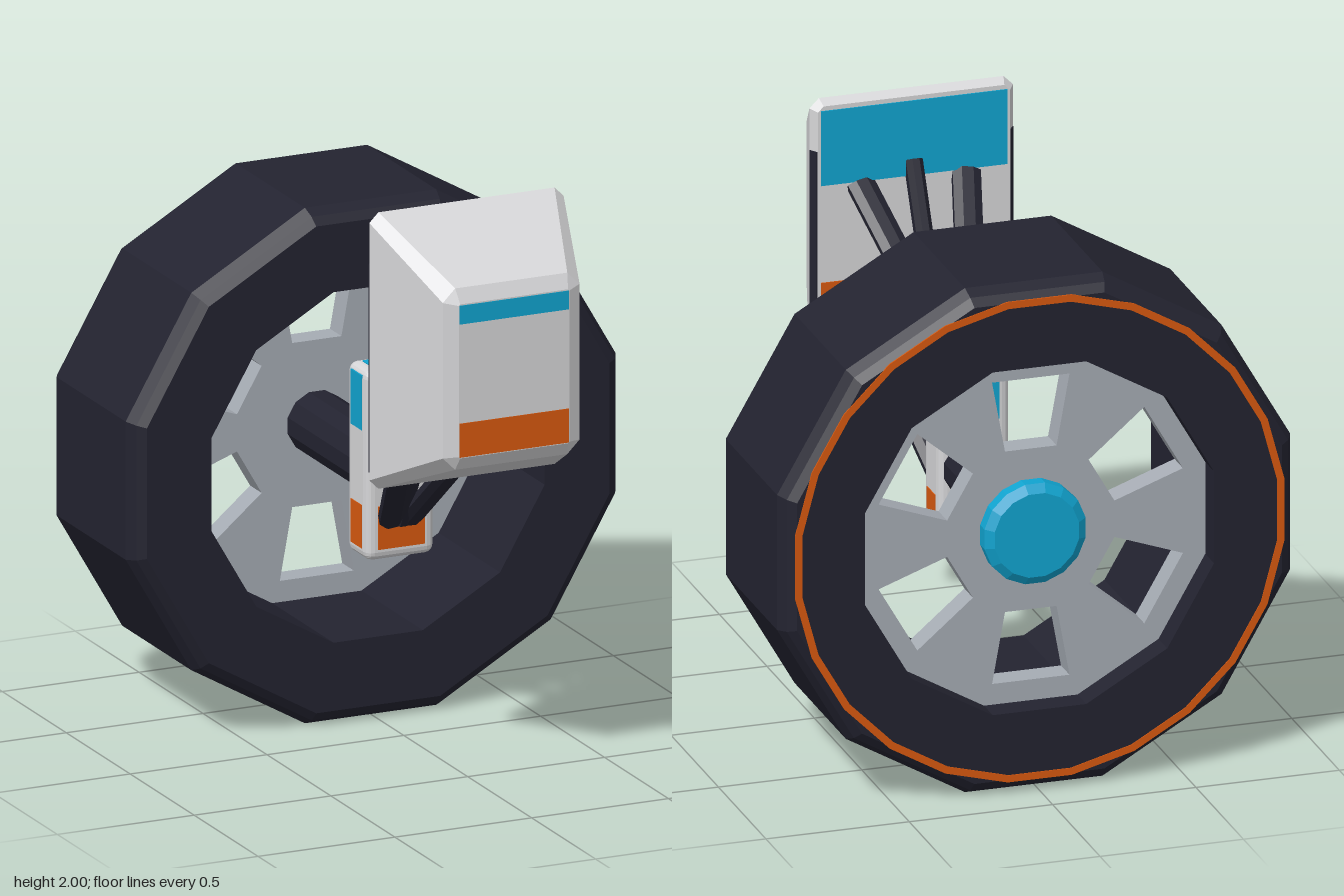
import * as THREE from 'three';
import { RoundedBoxGeometry } from 'three/addons/geometries/RoundedBoxGeometry.js';

const mat = (name, color) => {
  const m = new THREE.MeshStandardMaterial({ color, flatShading: true });
  m.name = name;
  return m;
};

// Closed solid lofted through equal-length cross-sections, ordered back to front
function loft(sections) {
  const pos = [];
  const tri = (...pts) => pts.forEach((p) => pos.push(...p));
  const n = sections[0].length;
  for (let k = 0; k < sections.length - 1; k++) {
    const s = sections[k], t = sections[k + 1];
    for (let i = 0; i < n; i++) {
      const j = (i + 1) % n;
      tri(s[i], s[j], t[j], s[i], t[j], t[i]);
    }
  }
  const back = sections[0], front = sections[sections.length - 1];
  for (let i = 1; i < n - 1; i++) {
    tri(back[0], back[i + 1], back[i]);
    tri(front[0], front[i], front[i + 1]);
  }
  const g = new THREE.BufferGeometry();
  g.setAttribute('position', new THREE.Float32BufferAttribute(pos, 3));
  g.computeVertexNormals();
  return g;
}

// Rectangle with cut corners, counter-clockwise seen from the front
const octagon = (z, hx, y0, y1, c) => [
  [hx, y0 + c, z], [hx, y1 - c, z], [hx - c, y1, z], [c - hx, y1, z],
  [-hx, y1 - c, z], [-hx, y0 + c, z], [c - hx, y0, z], [hx - c, y0, z],
];

// Twelve-sided turned part around the z axis, with a flat at the bottom
function turned(profile, segments = 12) {
  const pts = profile.map(([r, z]) => new THREE.Vector2(r, z));
  return new THREE.LatheGeometry(pts, segments, Math.PI / segments).rotateX(Math.PI / 2);
}

export function createModel() {
  const model = new THREE.Group();
  model.name = 'wheelAssembly';
  const dark = mat('darkRubber', 0x232330);
  const white = mat('paleShell', 0xd6d6d8);
  const metal = mat('rimGrey', 0xa6acb4);
  const cyan = mat('cyanPaint', 0x10a4d0);
  const orange = mat('orangePaint', 0xd8590f);

  const add = (name, geo, material, x = 0, y = 0, z = 0, parent = model) => {
    const m = new THREE.Mesh(geo, material);
    m.name = name;
    m.position.set(x, y, z);
    parent.add(m);
    return m;
  };
  const box = (w, h, d) => new THREE.BoxGeometry(w, h, d);

  // Wheel
  const wheel = new THREE.Group();
  wheel.name = 'wheel';
  wheel.position.y = 0.895;
  model.add(wheel);
  add('tire', turned([
    [0.63, -0.862], [0.875, -0.862], [0.905, -0.84], [0.9266, -0.8], [0.9266, -0.26],
    [0.905, -0.22], [0.875, -0.2], [0.63, -0.2], [0.63, -0.862],
  ]), dark, 0, 0, 0, wheel);
  add('sidewallRing', turned([
    [0.835, -0.86], [0.835, -0.865], [0.86, -0.865], [0.86, -0.86],
  ], 24), orange, 0, 0, 0, wheel);

  // Rim disc with six tapered windows
  const rim = new THREE.Shape();
  for (let i = 0; i < 12; i++) {
    const a = (i + 0.5) * Math.PI / 6, r = 0.632;
    if (i) rim.lineTo(r * Math.cos(a), r * Math.sin(a));
    else rim.moveTo(r * Math.cos(a), r * Math.sin(a));
  }
  for (let i = 0; i < 6; i++) {
    const a = Math.PI / 6 + i * Math.PI / 3;
    const corners = [[0.285, -0.09], [0.285, 0.09], [0.535, 0.135], [0.535, -0.135]];
    rim.holes.push(new THREE.Path(corners.map(([r, t]) => new THREE.Vector2(
      r * Math.cos(a) - t * Math.sin(a), r * Math.sin(a) + t * Math.cos(a)))));
  }
  add('rim', new THREE.ExtrudeGeometry(rim, { depth: 0.09, bevelEnabled: false }),
    metal, 0, 0, -0.77, wheel);
  add('hubCap', turned([
    [0, -0.835], [0.15, -0.835], [0.18, -0.815], [0.18, -0.76], [0, -0.76],
  ], 16), cyan, 0, 0, 0, wheel);
  add('axle', turned([[0, -0.7], [0.11, -0.7], [0.11, -0.17], [0, -0.17]]), dark, 0, 0, 0, wheel);

  // Mounting block with painted patches on every side
  const mount = new THREE.Group();
  mount.name = 'mount';
  mount.position.set(0, 0.94, -0.1);
  model.add(mount);
  add('mountBlock', new RoundedBoxGeometry(0.25, 0.66, 0.16, 2, 0.03), white, 0, 0, 0, mount);
  for (const [name, material, y, h, endY] of [
    ['upperPatch', cyan, 0.215, 0.19, 0.329], ['lowerPatch', orange, -0.215, 0.15, -0.329]]) {
    add(name + 'Sides', box(0.256, h, 0.085), material, 0, y, 0, mount);
    add(name + 'FrontBack', box(0.17, h, 0.166), material, 0, y, 0, mount);
    add(name + 'End', box(0.17, 0.008, 0.085), material, 0, endY, 0, mount);
  }

  // Struts: hexagonal bars, flattened across their depth
  const strut = (name, from, to, rx, rz) => {
    const a = new THREE.Vector3(...from), b = new THREE.Vector3(...to);
    const dir = b.clone().sub(a);
    const geo = new THREE.CylinderGeometry(1, 1, dir.length(), 8, 1, false, Math.PI / 8);
    const m = add(name, geo.scale(rx, 1, rz), dark);
    const yAxis = dir.normalize();
    const zAxis = new THREE.Vector3(1, 0, 0).cross(yAxis).normalize();
    const xAxis = yAxis.clone().cross(zAxis);
    m.quaternion.setFromRotationMatrix(new THREE.Matrix4().makeBasis(xAxis, yAxis, zAxis));
    m.position.copy(a).lerp(b, 0.5);
  };
  for (const [side, s] of [['left', 1], ['right', -1]]) {
    strut(side + 'UpperStrut', [s * 0.035, 1.23, -0.06], [s * 0.185, 1.69, 0.47], 0.052, 0.028);
    strut(side + 'LowerStrut', [s * 0.03, 0.74, -0.03], [s * 0.185, 1.29, 0.47], 0.052, 0.028);
  }
  strut('centreStrut', [0, 0.74, -0.03], [0, 1.75, 0.47], 0.032, 0.036);

  // Tapered pod
  add('pod', loft([
    octagon(0.46, 0.335, 1.06, 1.98, 0.02),
    octagon(0.49, 0.355, 1.04, 2.0, 0.033),
    octagon(0.84, 0.25, 1.19, 1.82, 0.045),
    octagon(0.863, 0.202, 1.235, 1.77, 0.005),
  ]), white);
  add('podFrontUpperStripe', box(0.4, 0.065, 0.004), cyan, 0, 1.733, 0.863);
  add('podFrontLowerStripe', box(0.4, 0.118, 0.004), orange, 0, 1.297, 0.863);
  add('podBackUpperPanel', box(0.65, 0.265, 0.006), cyan, 0, 1.832, 0.459);
  add('podBackLowerPanel', box(0.65, 0.28, 0.006), orange, 0, 1.215, 0.459);
  for (const s of [-1, 1]) {
    const trim = add('podEdgeTrim', box(0.03, 0.72, 0.006), dark, s * 0.345, 1.46, 0.475);
    trim.rotation.y = -s * 0.98;
  }
  return model;
}
